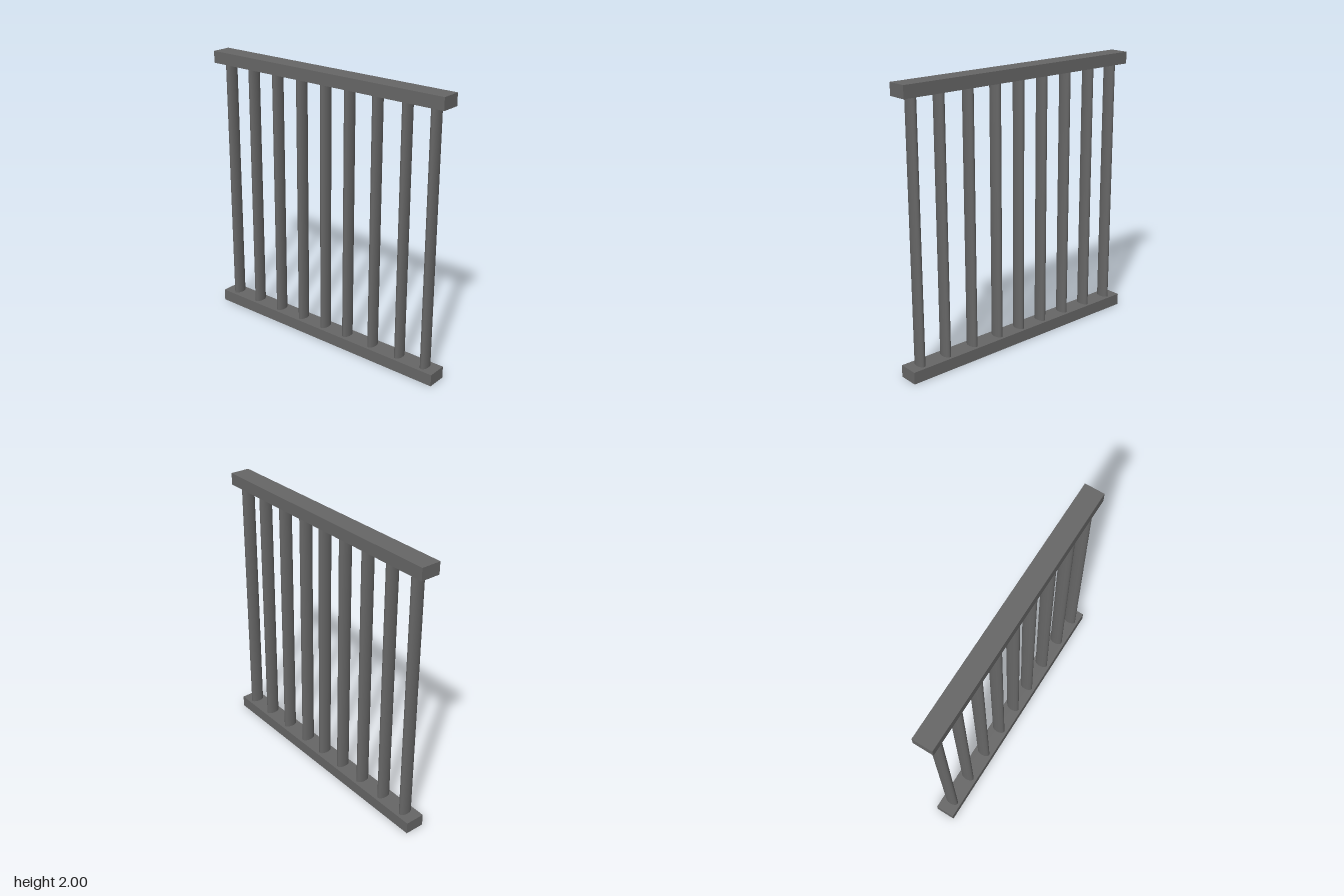
import * as THREE from 'three';

export function createModel() {
  const group = new THREE.Group();
  group.name = 'railing';
  const material = new THREE.MeshStandardMaterial({ color: 0x666666 });

  const height = 2, railHeight = 0.086, railWidth = 0.143, length = 1.965;

  // Bottom and top rails
  const railGeometry = new THREE.BoxGeometry(railWidth, railHeight, length);
  for (const [name, y] of [['bottomRail', railHeight / 2], ['topRail', height - railHeight / 2]]) {
    const rail = new THREE.Mesh(railGeometry, material);
    rail.name = name;
    rail.position.y = y;
    group.add(rail);
  }

  // Oval upright bars, slightly unevenly spaced between the rails
  const barGeometry = new THREE.CylinderGeometry(1, 1, height - 2 * railHeight, 32);
  barGeometry.scale(0.05, 1, 0.028);
  const barPositions = [0.885, 0.67, 0.437, 0.208, 0.003, -0.209, -0.43, -0.657, -0.88];
  barPositions.forEach((z, i) => {
    const bar = new THREE.Mesh(barGeometry, material);
    bar.name = `bar${i + 1}`;
    bar.position.set(0, height / 2, z);
    group.add(bar);
  });

  return group;
}
